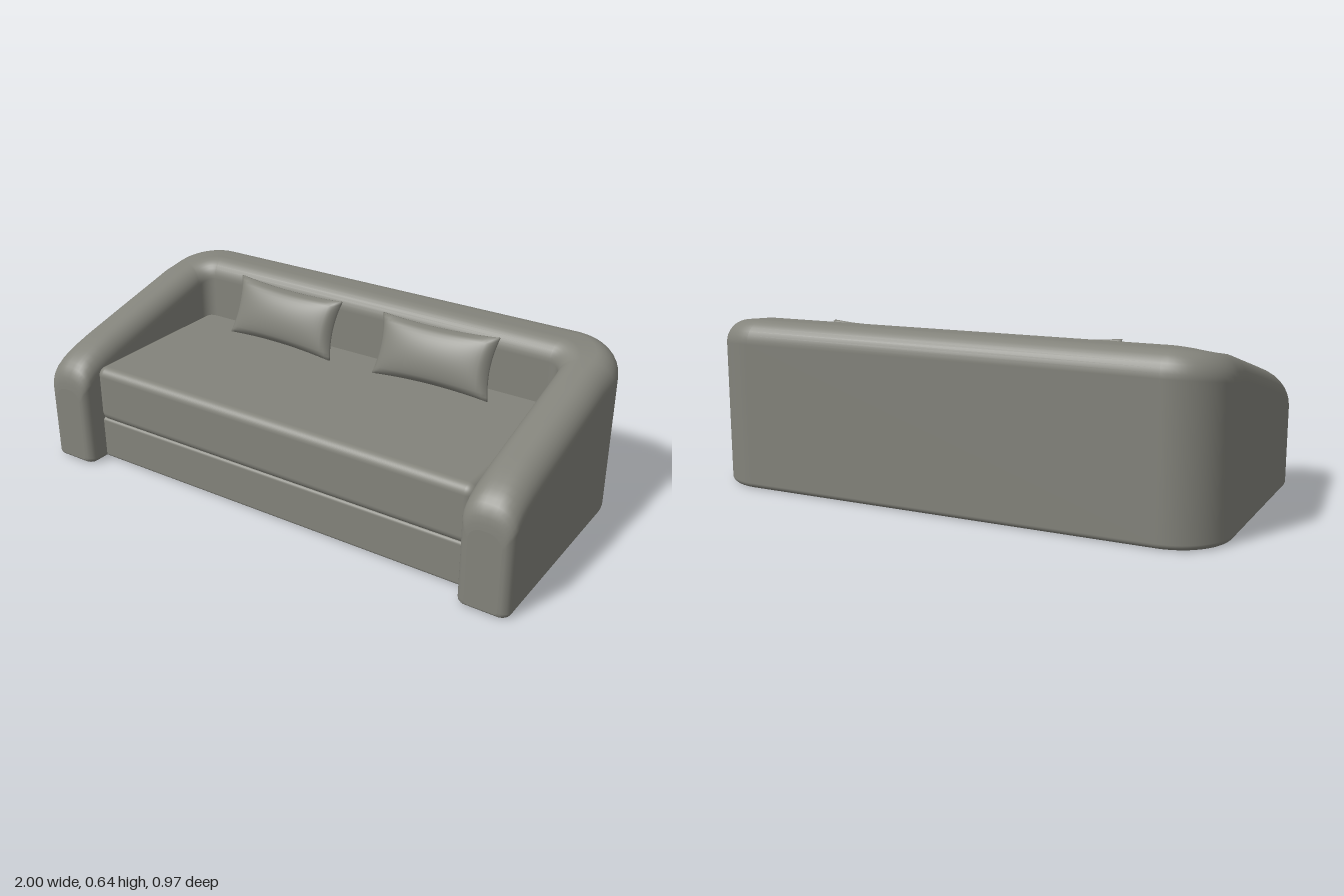
import * as THREE from 'three';
import { mergeVertices } from 'three/addons/utils/BufferGeometryUtils.js';
import { RoundedBoxGeometry } from 'three/addons/geometries/RoundedBoxGeometry.js';

// Cross-section of the shell: outer face up, over the rounded top, inner face down.
// O and I are the outer and inner plan points [x, z].
function section(O, I, h, inset) {
  const w = Math.hypot(I[0] - O[0], I[1] - O[1]);
  const width = w - 2 * inset, k = Math.min(1, width / 0.19), y0 = inset * 0.4;
  const ro = 0.085 * k, ri = 0.075 * k, rb = 0.02 * k;
  // corner centre, radius, start angle
  const corners = [
    [rb, y0 + rb, rb, 1.5], [ro, h - ro, ro, 1],
    [width - ri, h - ri, ri, 0.5], [width - rb, y0 + rb, rb, 0],
  ];
  const ring = [];
  for (const [ca, cy, r, start] of corners) {
    for (let j = 0; j <= 8; j++) {
      const a = (start - (j / 8) * 0.5) * Math.PI;
      const t = (inset + ca + r * Math.cos(a)) / w;
      ring.push([O[0] + (I[0] - O[0]) * t, cy + r * Math.sin(a), O[1] + (I[1] - O[1]) * t]);
    }
  }
  return ring;
}

// U-shaped wall: sloping arms running round into the back
function shellGeometry() {
  const R = 0.035, front = 0.485;
  const profile = [
    [0.485, 0.31], [0.4835, 0.335], [0.48, 0.358], [0.472, 0.38], [0.46, 0.397], [0.445, 0.413],
    [0.42, 0.43], [0.39, 0.444], [0.35, 0.459], [0.28, 0.48], [0.1, 0.526], [-0.08, 0.571], [-0.19, 0.599],
  ];
  const half = profile.map(([z, h]) => {
    const d = Math.max(0, R - (front - z));
    return section([1, z], [0.81, z], h, R - Math.sqrt(R * R - d * d));
  });
  for (let i = 0; i <= 14; i++) {
    const t = i / 14, a = t * Math.PI / 2, c = Math.cos(a), s = Math.sin(a);
    const O = [0.8 + 0.2 * c, -0.285 - 0.2 * s];
    const I = [0.76 + 0.05 * c, -0.22 - 0.05 * s];
    half.push(section(O, I, 0.61 + 0.028 * Math.sin(a), 0));
  }
  const mirrored = half.map(r => r.map(([x, y, z]) => [-x, y, z])).reverse();
  const rings = [...half, ...mirrored];
  const n = rings[0].length, pos = rings.flat(2), index = [];
  for (let i = 0; i < rings.length - 1; i++) {
    for (let j = 0; j < n; j++) {
      const a = i * n + j, b = i * n + (j + 1) % n;
      index.push(a, a + n, b, b, a + n, b + n);
    }
  }
  // flat front ends of the arms
  for (const [ring, flip] of [[rings[0], false], [rings[rings.length - 1], true]]) {
    const base = pos.length / 3;
    pos.push(...ring.flat(), Math.sign(ring[0][0]) * 0.905, 0.16, front);
    for (let j = 0; j < n; j++) {
      const a = base + j, b = base + (j + 1) % n;
      index.push(base + n, flip ? b : a, flip ? a : b);
    }
  }
  const g = new THREE.BufferGeometry();
  g.setAttribute('position', new THREE.Float32BufferAttribute(pos, 3));
  g.setIndex(index);
  g.computeVertexNormals();
  return g;
}

// Stuffed pillow with pointed corners and drawn-in edges
function pillowGeometry() {
  let g = new THREE.BoxGeometry(2, 2, 2, 28, 18, 1);
  g.deleteAttribute('uv');
  g.deleteAttribute('normal');
  const p = g.attributes.position;
  for (let i = 0; i < p.count; i++) {
    const u = p.getX(i), v = p.getY(i), side = p.getZ(i);
    const bulge = Math.pow(Math.max(0, (1 - u * u) * (1 - v * v)), 0.45);
    p.setXYZ(i,
      0.243 * u * (1 - 0.07 * (1 - v * v)),
      0.118 * v * (1 - 0.1 * (1 - u * u)),
      side * (0.006 + 0.052 * bulge));
  }
  g = mergeVertices(g);
  g.computeVertexNormals();
  return g;
}

export function createModel() {
  const group = new THREE.Group();
  const fabric = new THREE.MeshStandardMaterial({ color: 0x83837b });
  fabric.name = 'grey fabric';

  const add = (name, geometry, x = 0, y = 0, z = 0) => {
    const mesh = new THREE.Mesh(geometry, fabric);
    mesh.name = name;
    mesh.position.set(x, y, z);
    group.add(mesh);
    return mesh;
  };

  add('armsAndBack', shellGeometry());

  // seat base and cushion, tucked into the shell
  add('seatBase', new RoundedBoxGeometry(1.66, 0.172, 0.7, 3, 0.012), 0, 0.09, 0.048);
  add('seatCushion', new RoundedBoxGeometry(1.64, 0.225, 0.71, 6, 0.035), 0, 0.284, 0.053);

  // two pillows leaning on the back
  const pillow = pillowGeometry();
  for (const side of [-1, 1]) {
    const mesh = add(side < 0 ? 'rightPillow' : 'leftPillow', pillow, side * 0.34, 0.513, -0.19);
    mesh.rotation.set(-0.36, 0, side * 0.02);
  }
  return group;
}
